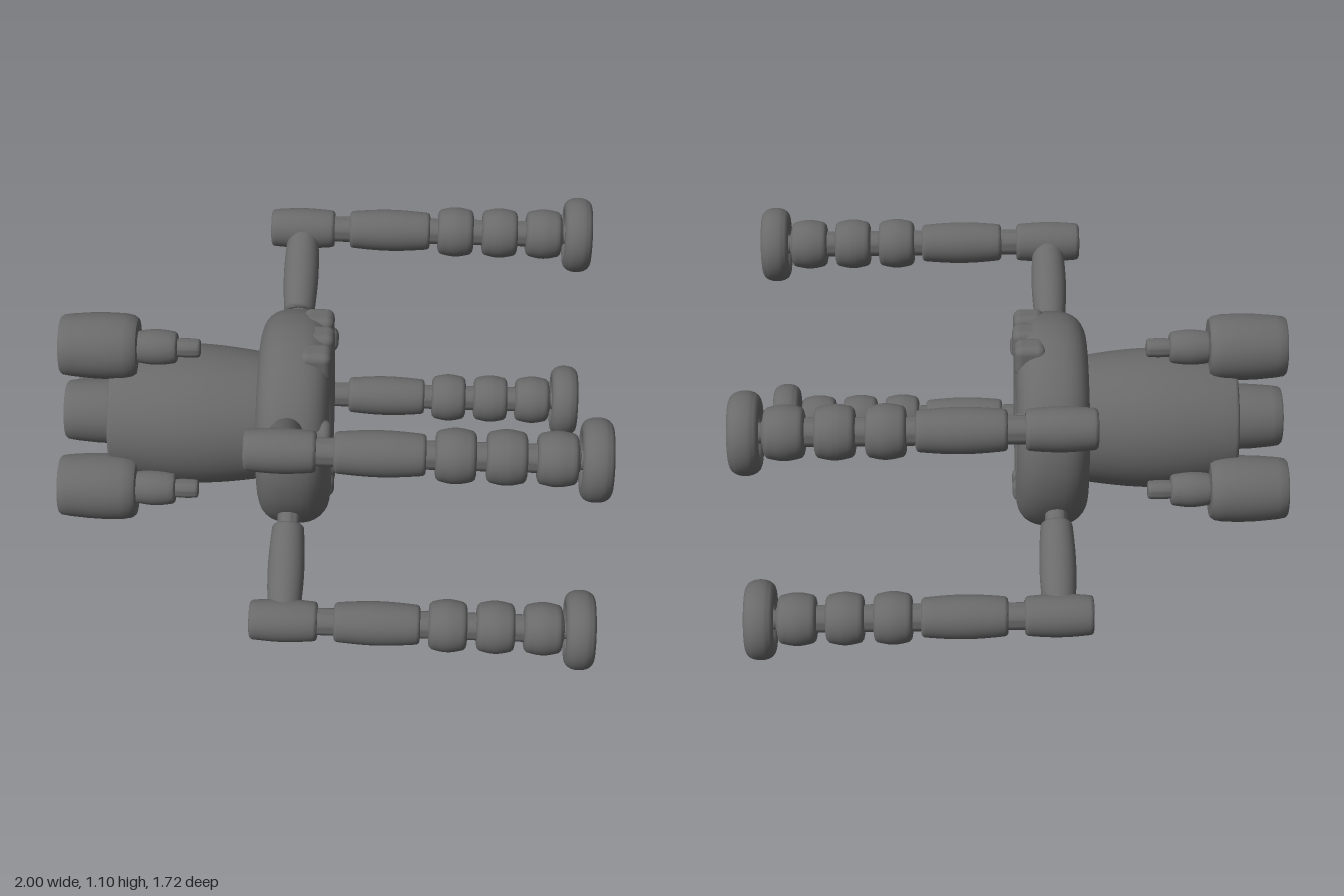
import * as THREE from 'three';
import { toCreasedNormals } from 'three/addons/utils/BufferGeometryUtils.js';
import { RoundedBoxGeometry } from 'three/addons/geometries/RoundedBoxGeometry.js';

const darkGrey = new THREE.MeshStandardMaterial({ color: 0x6a6a6a });
const AXIS_Y = 0.56; // height of the hull's long axis
const HUB_X = -0.125; // middle of the main ring

function addMesh(parent, name, geometry, x = 0, y = 0, z = 0) {
  const mesh = new THREE.Mesh(geometry, darkGrey);
  mesh.name = name;
  mesh.position.set(x, y, z);
  parent.add(mesh);
  return mesh;
}

// Turns a list of [radius, x] around the x axis
function latheX(points, segments) {
  const profile = points.map(([r, x]) => new THREE.Vector2(r, x));
  const geometry = new THREE.LatheGeometry(profile, segments).rotateZ(-Math.PI / 2);
  return toCreasedNormals(geometry, 0.7);
}

// Bulging barrel with softened rims; hole = 0 gives closed ends
function barrel(x0, x1, r, hole = 0, endRatio = 0.9, rim = 0.015, segments = 32) {
  const c = Math.min(rim, r * 0.25);
  const end = r * endRatio;
  const points = [[hole, x0], [end - c, x0], [end - c * 0.5, x0 + c * 0.13], [end - c * 0.13, x0 + c * 0.5]];
  for (let i = 0; i <= 10; i++) {
    const t = i / 10;
    points.push([end + (r - end) * Math.sin(Math.PI * t), x0 + c + (x1 - x0 - 2 * c) * t]);
  }
  points.push([end - c * 0.13, x1 - c * 0.5], [end - c * 0.5, x1 - c * 0.13], [end - c, x1], [hole, x1]);
  if (hole > 0) points.push([hole, x0]);
  return latheX(points, segments);
}

// Thick ring with a rounded-square cross-section
function ring(outer, inner, halfWidth, power, segments) {
  const mid = (outer + inner) / 2, half = (outer - inner) / 2;
  const soft = (v) => Math.sign(v) * Math.pow(Math.abs(v), 2 / power);
  const points = [];
  for (let i = 0; i <= 32; i++) {
    const a = (i / 32) * Math.PI * 2;
    points.push([mid + half * soft(Math.cos(a)), halfWidth * soft(Math.sin(a))]);
  }
  return latheX(points, segments);
}

// Outside and rim shared by all rear nozzles
const nozzleShell = [[0.09, -0.82], [0.1, -0.985], [0.105, -1], [0.112, -0.992], [0.117, -0.96],
  [0.123, -0.89], [0.125, -0.83]];

// Rear booster: open nozzle, collar and tip
function booster(y, z) {
  const group = new THREE.Group();
  group.name = 'booster';
  const nozzle = [[0, -0.8], ...nozzleShell, [0.123, -0.76], [0.117, -0.728], [0.105, -0.712], [0, -0.71]];
  addMesh(group, 'nozzle', latheX(nozzle, 32));
  addMesh(group, 'collar', barrel(-0.72, -0.565, 0.067, 0, 0.9));
  addMesh(group, 'tip', barrel(-0.575, -0.48, 0.036, 0, 0.95));
  group.position.set(0, y, z);
  return group;
}

// Long forward arm made of hollow barrels on a core rod
function arm(y, z) {
  const group = new THREE.Group();
  group.name = 'arm';
  addMesh(group, 'elbow', barrel(-0.26, -0.01, 0.079, 0.058, 0.92));
  addMesh(group, 'forearm', barrel(0.05, 0.365, 0.081, 0.045, 0.9));
  for (const x of [0.396, 0.57, 0.743]) {
    addMesh(group, 'armSegment', barrel(x, x + 0.14, 0.097, 0.045, 0.93, 0.024));
  }
  addMesh(group, 'coreRod', barrel(-0.1, 0.89, 0.05, 0, 1));
  addMesh(group, 'muzzleRing', ring(0.146, 0.068, 0.054, 2.2, 32), 0.945);
  addMesh(group, 'muzzleBall', new THREE.SphereGeometry(0.036, 20, 14), 0.9);
  group.position.set(0, y, z);
  return group;
}

// Strut joining the main ring to an arm's elbow
function strut(y, z) {
  const group = new THREE.Group();
  group.name = 'strut';
  const direction = new THREE.Vector3(0, y - AXIS_Y, z);
  const length = direction.length();
  addMesh(group, 'strutNeck', barrel(0.34, 0.47, 0.042, 0, 0.95));
  addMesh(group, 'strutBarrel', barrel(0.44, length - 0.02, 0.068, 0, 0.88));
  group.quaternion.setFromUnitVectors(new THREE.Vector3(1, 0, 0), direction.normalize());
  group.position.set(-0.135, AXIS_Y, 0);
  return group;
}

export function createModel() {
  const model = new THREE.Group();
  model.name = 'spacecraft';

  // Hull with a narrow bore, and the rings nested in its mouth
  addMesh(model, 'hull', barrel(-0.82, -0.23, 0.266, 0.035, 0.9, 0.015, 40), 0, AXIS_Y);
  addMesh(model, 'mainRing', ring(0.409, 0.16, 0.135, 2.5, 24), HUB_X, AXIS_Y);
  addMesh(model, 'innerRing', ring(0.152, 0.072, 0.075, 2, 32), -0.13, AXIS_Y);
  addMesh(model, 'boreRing', ring(0.078, 0.035, 0.06, 2, 28), -0.14, AXIS_Y);

  // Central exhaust, open at the back
  addMesh(model, 'centralExhaust', latheX([[0.035, -0.821], ...nozzleShell, [0.125, -0.8]], 32), 0, AXIS_Y);

  // Three boosters around the hull
  for (let i = 0; i < 3; i++) {
    const a = Math.PI / 2 + (i * Math.PI * 2) / 3;
    model.add(booster(AXIS_Y - 0.004 + 0.308 * Math.sin(a), 0.302 * Math.cos(a)));
  }

  // Four arms with their struts
  for (const side of [1, -1]) {
    for (const [y, z] of [[0.952, 0.714], [0.148, 0.697]]) {
      model.add(strut(y, z * side), arm(y, z * side));
    }
  }

  // Rounded pads on the front of the ring: [x, y, z, height, width, tilt]
  const pads = [
    [-0.037, 0.893, 0, 0.127, 0.102, 0],
    [-0.043, 0.893, 0.115, 0.124, 0.102, 0],
    [-0.043, 0.893, -0.115, 0.124, 0.102, 0],
    [-0.035, 0.71, 0.3, 0.092, 0.092, 0.5],
    [-0.035, 0.71, -0.3, 0.092, 0.092, -0.5],
    [-0.037, 0.262, 0.042, 0.09, 0.07, 0],
    [-0.037, 0.262, -0.035, 0.09, 0.07, 0],
  ];
  for (const [x, y, z, height, width, tilt] of pads) {
    const pad = new RoundedBoxGeometry(0.115, height, width, 4, 0.03);
    addMesh(model, 'ringPad', pad, x, y, z).rotation.x = tilt;
  }
  return model;
}
